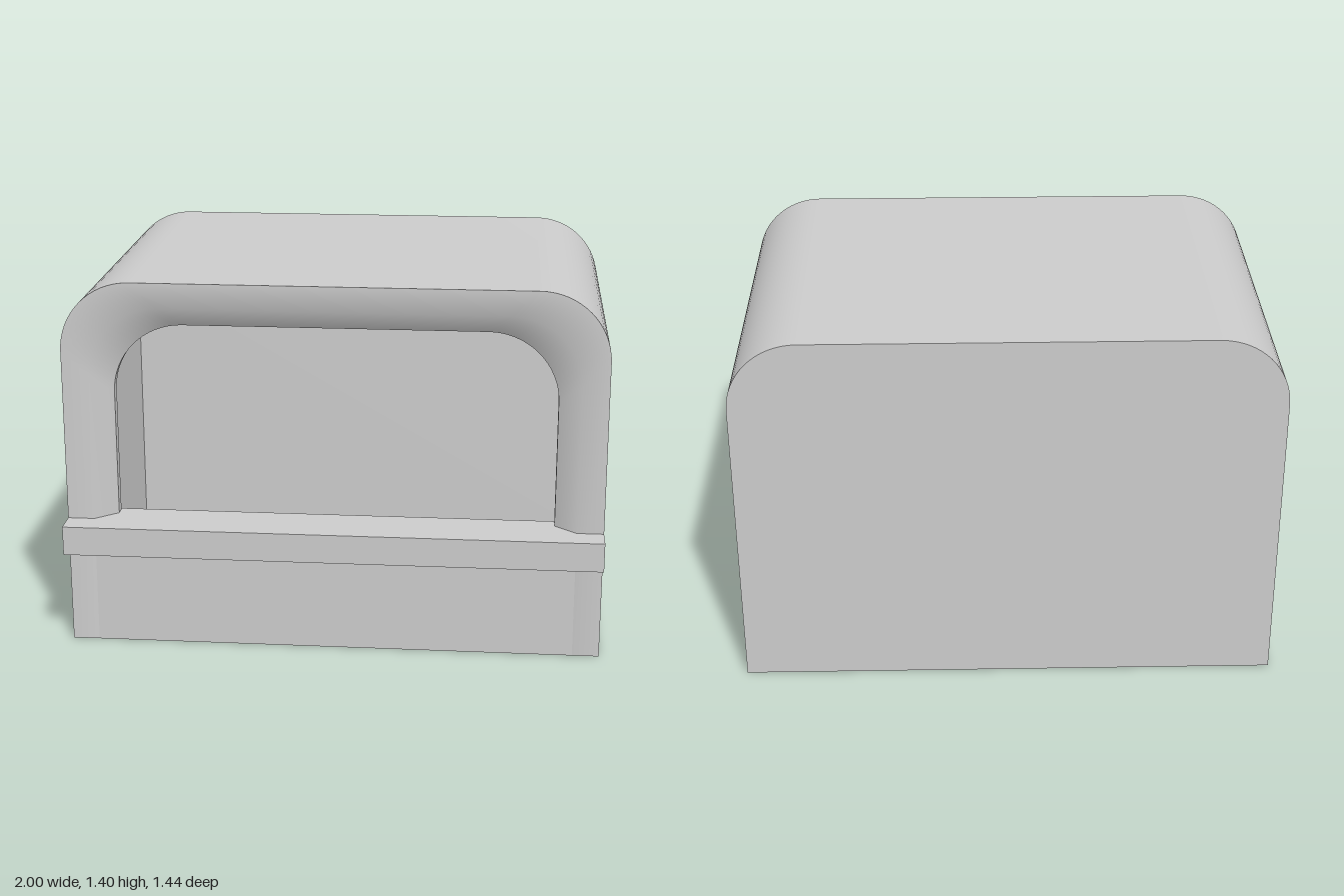
import * as THREE from 'three';
import { toCreasedNormals } from 'three/addons/utils/BufferGeometryUtils.js';

const HEIGHT = 1.4, RADIUS = 0.26, BACK = -0.72, FRONT = 0.62, WALL = 0.03;

// Round-cornered arch from bottom left, over the top, to bottom right
function archPoints(inset, steps = 16) {
  const x = 1 - inset, y = HEIGHT - inset * 0.95, pts = [new THREE.Vector2(-x, 0)];
  for (const side of [-1, 1]) {
    for (let i = 0; i <= steps; i++) {
      const start = side < 0 ? Math.PI : Math.PI / 2;
      const a = start - (i / steps) * Math.PI / 2;
      pts.push(new THREE.Vector2(
        side * (x - RADIUS) + RADIUS * Math.cos(a),
        y - RADIUS + RADIUS * Math.sin(a)));
    }
  }
  pts.push(new THREE.Vector2(x, 0));
  return pts;
}

// Sweeps a profile of [inset, z] pairs along the arch
function sweepArch(profile) {
  const pos = [], index = [];
  const rows = profile.map(([inset]) => archPoints(inset));
  const n = rows[0].length;
  rows.forEach((row, i) => row.forEach(p => pos.push(p.x, p.y, profile[i][1])));
  for (let i = 0; i < rows.length - 1; i++) {
    for (let j = 0; j < n - 1; j++) {
      const a = i * n + j, b = a + n;
      index.push(a, b, b + 1, a, b + 1, a + 1);
    }
  }
  const geo = new THREE.BufferGeometry();
  geo.setAttribute('position', new THREE.Float32BufferAttribute(pos, 3));
  geo.setIndex(index);
  return toCreasedNormals(geo, 0.78);
}

export function createModel() {
  const group = new THREE.Group();
  const material = new THREE.MeshStandardMaterial({ color: 0xcccccc });
  const shellMaterial = new THREE.MeshStandardMaterial({ color: 0xcccccc, side: THREE.DoubleSide });

  function add(name, geo, mat = material) {
    const mesh = new THREE.Mesh(geo, mat);
    mesh.name = name;
    group.add(mesh);
  }
  // Box given by its half width and its y and z ranges
  function addBox(name, halfX, y0, y1, z0, z1) {
    const geo = new THREE.BoxGeometry(halfX * 2, y1 - y0, z1 - z0);
    geo.translate(0, (y0 + y1) / 2, (z0 + z1) / 2);
    add(name, geo);
  }

  // Hollow shell with the chamfered rim of the opening
  add('shell', sweepArch([
    [0, BACK + WALL], [0, FRONT], [0.10, FRONT], [0.18, 0.55],
    [0.18, 0.51], [0.11, 0.58], [WALL, 0.58], [WALL, BACK + WALL],
  ]), shellMaterial);

  // Back wall
  const back = new THREE.ExtrudeGeometry(new THREE.Shape(archPoints(0)), { depth: WALL, bevelEnabled: false });
  back.translate(0, 0, BACK);
  add('backWall', toCreasedNormals(back, 0.5));

  // Floor, lower front wall and the ledge across it
  addBox('floor', 0.995, 0, 0.02, BACK + WALL, FRONT - 0.005);
  addBox('lowerFrontWall', 0.90, 0, 0.49, 0.50, FRONT);
  addBox('ledge', 1, 0.38, 0.49, FRONT, 0.72);

  return group;
}
